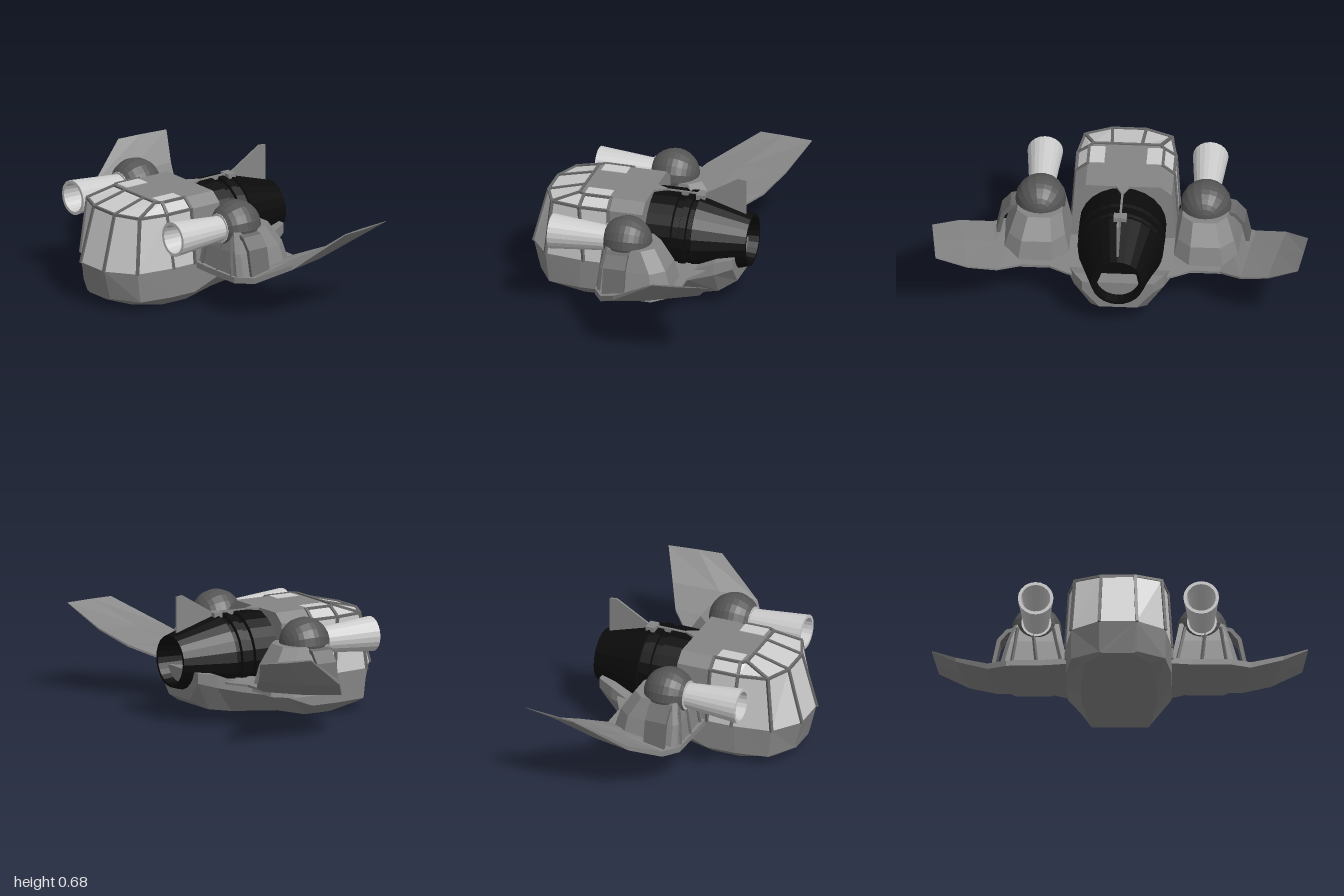
import * as THREE from 'three';

const mat = (color, side = THREE.FrontSide) =>
  new THREE.MeshStandardMaterial({ color, side, flatShading: true });
const HULL = mat(0x858585), DARK = mat(0x555555), FRAME = mat(0x6a6a6a), BLACK = mat(0x0b0b0b);
const LIGHT = mat(0xcccccc);
const SHELL = mat(0x858585, THREE.DoubleSide), GLASS = mat(0xcccccc, THREE.DoubleSide);

function add(parent, name, geometry, material) {
  const mesh = new THREE.Mesh(geometry, material);
  mesh.name = name;
  parent.add(mesh);
  return mesh;
}

// Flat-shaded geometry from a list of triangles of [x, y, z] corners
function fromTriangles(tris) {
  const g = new THREE.BufferGeometry();
  g.setAttribute('position', new THREE.Float32BufferAttribute(tris.flat(2), 3));
  g.computeVertexNormals();
  return g;
}

// Closed skin over a row of rings with capped ends, always turned outwards
function loft(rings) {
  const tris = [], n = rings[0].length, last = rings[rings.length - 1];
  for (let i = 0; i < rings.length - 1; i++) {
    for (let j = 0; j < n; j++) {
      const k = (j + 1) % n, a = rings[i], b = rings[i + 1];
      tris.push([a[j], a[k], b[k]], [a[j], b[k], b[j]]);
    }
  }
  for (let j = 1; j < n - 1; j++) {
    tris.push([rings[0][0], rings[0][j + 1], rings[0][j]], [last[0], last[j], last[j + 1]]);
  }
  const v = (p) => new THREE.Vector3(...p);
  const volume = tris.reduce((s, [a, b, c]) => s + v(a).dot(v(b).cross(v(c))), 0);
  return fromTriangles(volume < 0 ? tris.map(([a, b, c]) => [a, c, b]) : tris);
}

// Square strip between two points
function bar(parent, name, a, b, size, material) {
  const p = new THREE.Vector3(...a), q = new THREE.Vector3(...b);
  const mesh = add(parent, name, new THREE.BoxGeometry(size, size, p.distanceTo(q) + size * 0.5), material);
  mesh.position.copy(p).lerp(q, 0.5);
  mesh.lookAt(q);
}

function lowerHull(root) {
  // z, half width, top, chamfer height, bottom, bottom half width, setback of the lower edge
  const stations = [
    [0.61, 0.10, 0.22, 0.06, 0.05, 0.08, 0.04], [0.50, 0.25, 0.22, 0.06, 0.03, 0.18, 0.02],
    [0.30, 0.28, 0.22, 0.06, 0, 0.2, 0], [0.14, 0.28, 0.22, 0.06, 0, 0.2, 0],
    [-0.03, 0.28, 0.23, 0.125, 0.04, 0.2, 0], [-0.30, 0.275, 0.23, 0.18, 0.06, 0.17, 0],
    [-0.43, 0.24, 0.28, 0.21, 0.08, 0.15, 0], [-0.52, 0.19, 0.29, 0.235, 0.13, 0.10, 0],
  ];
  add(root, 'lowerHull', loft(stations.map(([z, w, t, c, b, bw, d]) => [
    [w, t, z], [w, c, z - d], [bw, b, z - d], [-bw, b, z - d], [-w, c, z - d], [-w, t, z],
  ])), HULL);
}

function cabin(root) {
  const group = new THREE.Group();
  group.name = 'cabin';
  root.add(group);
  // Half outlines from nose to back at sill, brow and roof
  const tiers = [
    [0.22, [[0.10, 0.61], [0.25, 0.50], [0.28, 0.28], [0.28, 0.14], [0.28, -0.04]]],
    [0.52, [[0.09, 0.53], [0.23, 0.47], [0.26, 0.31], [0.26, 0.15], [0.26, -0.04]]],
    [0.57, [[0.08, 0.33], [0.18, 0.33], [0.20, 0.30], [0.20, 0.15], [0.20, -0.04]]],
  ];
  const rings = tiers.map(([y, half]) => [
    ...half.slice().reverse().map(([x, z]) => [-x, y, z]), ...half.map(([x, z]) => [x, y, z]),
  ]);
  const glass = [], shell = [];
  for (let t = 0; t < 2; t++) {
    for (let j = 0; j < 10; j++) {
      const k = (j + 1) % 10, a = rings[t], b = rings[t + 1];
      (j === 0 || j >= 8 ? shell : glass).push([a[j], a[k], b[k]], [a[j], b[k], b[j]]);
      if (j > 0 && j < 9) bar(group, 'windowFrame', a[j], b[j], 0.016, FRAME);
      if (j > 0 && j < 8) bar(group, 'windowFrame', b[j], b[k], 0.014, FRAME);
    }
  }
  for (let j = 1; j < 9; j++) shell.push([rings[2][0], rings[2][j], rings[2][j + 1]]);
  add(group, 'cabinShell', fromTriangles(shell), SHELL);
  add(group, 'cabinWindows', fromTriangles(glass), GLASS);
  for (const s of [-1, 1]) {
    add(group, 'roofWindow', new THREE.BoxGeometry(0.08, 0.006, 0.14), LIGHT)
      .position.set(s * 0.152, 0.571, 0.23);
  }
}

function mainEngine(root) {
  // Grooved barrel narrowing to an open exhaust
  const profile = [
    [0, -0.02], [0.23, -0.02], [0.232, 0.18], [0.215, 0.185], [0.215, 0.22], [0.23, 0.225], [0.23, 0.26],
    [0.215, 0.265], [0.215, 0.29], [0.226, 0.295], [0.14, 0.575], [0.125, 0.575], [0.105, 0.42], [0, 0.42],
  ].map(([r, y]) => new THREE.Vector2(r, y));
  add(root, 'mainEngine', new THREE.LatheGeometry(profile, 24).rotateX(-Math.PI / 2).translate(0, 0.33, 0), BLACK);

  // Tail fin with its clamp and the tapered spine behind the roof
  const fin = new THREE.Shape([[0.08, 0.55], [0.1, 0.567], [0.31, 0.567], [0.5, 0.68], [0.54, 0.675], [0.54, 0.45], [0.3, 0.5]]
    .map(([x, y]) => new THREE.Vector2(x, y)));
  add(root, 'tailFin', new THREE.ExtrudeGeometry(fin, { depth: 0.012, bevelEnabled: false })
    .rotateY(Math.PI / 2).translate(-0.006, 0, 0), HULL);
  add(root, 'finClamp', new THREE.BoxGeometry(0.07, 0.03, 0.05), HULL).position.set(0, 0.553, -0.295);
  add(root, 'roofSpine', loft([[0.04, -0.03], [0.006, -0.1]].map(([w, z]) => [
    [w, 0.57, z], [-w, 0.57, z], [-w, 0.53, z], [w, 0.53, z],
  ])), HULL);
}

function wing(root, s) {
  // Leading edge, trailing edge and half thickness, from root to tip
  const sections = [
    [[0.15, 0.21, 0.13], [0.15, 0.24, -0.42], 0.02],
    [[0.28, 0.21, 0.13], [0.28, 0.235, -0.38], 0.02],
    [[0.39, 0.205, 0.125], [0.38, 0.235, -0.325], 0.02],
    [[0.60, 0.205, 0.12], [0.53, 0.235, -0.325], 0.02],
    [[0.70, 0.215, 0.06], [0.65, 0.29, -0.44], 0.02],
    [[0.87, 0.31, -0.06], [0.80, 0.36, -0.52], 0.015],
    [[1.0, 0.48, -0.32], [0.965, 0.485, -0.615], 0.004],
  ];
  add(root, 'wing', loft(sections.map(([l, t, h]) => {
    const at = (u, dy) => [s * (l[0] + (t[0] - l[0]) * u), l[1] + (t[1] - l[1]) * u + dy, l[2] + (t[2] - l[2]) * u];
    return [at(0, h * 0.8), at(0.45, h), at(1, h * 0.3), at(1, -h * 0.3), at(0.45, -h * 1.4), at(0, -h * 0.8)];
  })), HULL);
}

function enginePod(root, s) {
  const pod = new THREE.Group();
  pod.name = s > 0 ? 'leftEnginePod' : 'rightEnginePod';
  root.add(pod);

  // Faceted pedestal rising from the wing: y, inner x, outer x, front z, back z, corner cut
  const levels = [
    [0.20, 0.27, 0.64, 0.11, -0.29, 0.09], [0.34, 0.30, 0.60, 0.10, -0.25, 0.07], [0.45, 0.32, 0.56, 0.08, -0.18, 0.06],
  ];
  add(pod, 'podBase', loft(levels.map(([y, x0, x1, zf, zb, c]) => [
    [x0, zf], [x1 - c * 0.3, zf], [x1, zf - c * 0.3], [x1, zb + c], [x1 - c, zb], [x0 + c, zb], [x0, zb + c],
  ].map(([x, z]) => [s * x, y, z]))), HULL);
  for (const [xa, xb] of [[0.31, 0.35], [0.44, 0.46], [0.57, 0.54]]) {
    bar(pod, 'podRib', [s * xa, 0.22, 0.112], [s * xb, 0.42, 0.09], 0.014, FRAME);
  }

  // Arched guard on the outer side
  const arch = new THREE.Shape([
    [0.56, 0.44], [0.60, 0.43], [0.65, 0.37], [0.68, 0.22], [0.66, 0.22], [0.63, 0.36], [0.59, 0.41], [0.56, 0.42],
  ].map(([x, y]) => new THREE.Vector2(s * x, y)));
  add(pod, 'sideGuard', new THREE.ExtrudeGeometry(arch, { depth: 0.12, bevelEnabled: false })
    .translate(0, 0, -0.06), FRAME);

  // Ball housing, cut flat at the front, with a flared open tube
  const cut = 0.62;
  add(pod, 'ballHousing', new THREE.SphereGeometry(0.135, 18, 12, 0, Math.PI * 2, cut, Math.PI - cut)
    .rotateX(Math.PI / 2).translate(s * 0.44, 0.45, -0.01), DARK);
  const tube = [[0, -0.01], [0.08, -0.01], [0.08, 0.004], [0.068, 0.004], [0.095, 0.31], [0.078, 0.31], [0.055, 0.03], [0, 0.03]]
    .map(([r, y]) => new THREE.Vector2(r, y));
  add(pod, 'nozzle', new THREE.LatheGeometry(tube, 20).rotateX(Math.PI / 2).translate(s * 0.44, 0.45, 0.098), LIGHT);
}

export function createModel() {
  const root = new THREE.Group();
  root.name = 'spacecraft';
  lowerHull(root);
  cabin(root);
  mainEngine(root);
  for (const s of [1, -1]) {
    wing(root, s);
    enginePod(root, s);
  }
  return root;
}
